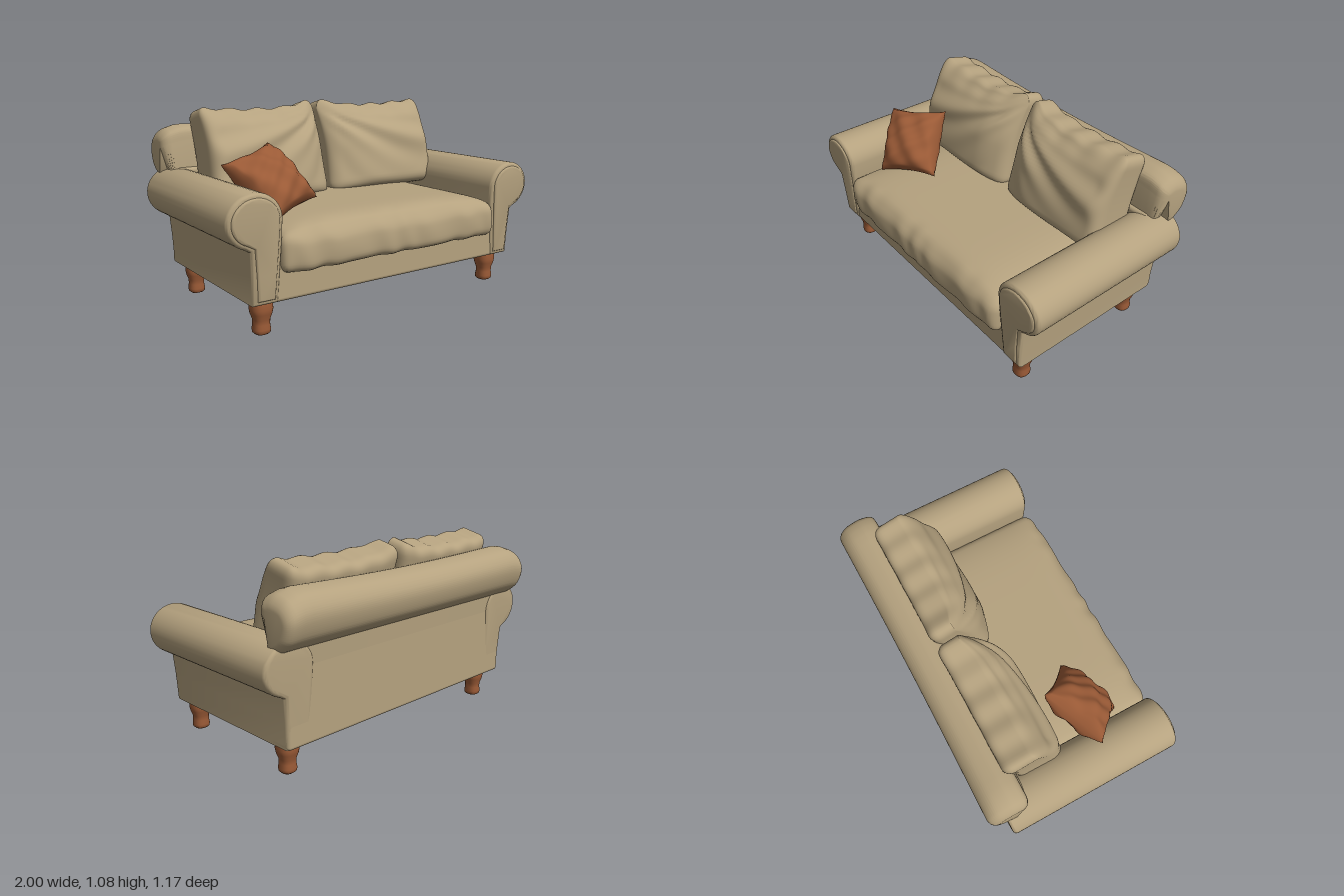
import * as THREE from 'three';
import { mergeVertices, toCreasedNormals } from 'three/addons/utils/BufferGeometryUtils.js';
import { RoundedBoxGeometry } from 'three/addons/geometries/RoundedBoxGeometry.js';

const { sin, cos, abs, max, min, hypot, sign, sqrt, PI } = Math;
const clamp = THREE.MathUtils.clamp;

// Moves every vertex of a geometry by a rule acting on a Vector3
function deform(geo, rule) {
  const p = geo.attributes.position, v = new THREE.Vector3();
  for (let i = 0; i < p.count; i++) {
    v.fromBufferAttribute(p, i);
    rule(v);
    p.setXYZ(i, v.x, v.y, v.z);
  }
  return geo;
}

// Welds a geometry and gives it smooth normals
function smooth(geo) {
  geo.deleteAttribute('uv');
  geo.deleteAttribute('normal');
  const g = mergeVertices(geo, 1e-4);
  g.computeVertexNormals();
  return g;
}

// Subdivided box with rounded edges, then shaped by a rule
function softBox(w, h, d, r, [a, b, c], rule) {
  const half = [w / 2, h / 2, d / 2];
  const geo = deform(new THREE.BoxGeometry(w, h, d, a, b, c), (v) => {
    const q = v.toArray();
    const inner = q.map((n, i) => clamp(n, -half[i] + r, half[i] - r));
    const off = q.map((n, i) => n - inner[i]);
    const k = r / (hypot(...off) || 1);
    v.set(...inner.map((n, i) => n + off[i] * k));
    rule(v);
  });
  return smooth(geo);
}

// Extrusion centred on its own axis, with a bevel kept inside the outline
function bar(shape, length, bevel, inset = 0, steps = 1) {
  const geo = new THREE.ExtrudeGeometry(shape, {
    depth: length - 2 * bevel, steps, curveSegments: 28,
    bevelSize: bevel, bevelThickness: bevel, bevelOffset: -bevel - inset, bevelSegments: 5,
  });
  return geo.translate(0, 0, bevel - length / 2);
}

// Outline of a rolled arm seen from the front
function armShape(side) {
  const s = new THREE.Shape();
  const pts = [[0.725, 0.172], [0.862, 0.172], [0.868, 0.32], [0.878, 0.445]];
  for (let i = 0; i <= 30; i++) {
    const t = -1.2 + (i / 30) * (1.2 + PI);
    pts.push([0.85 + 0.15 * cos(t), 0.588 + 0.138 * sin(t)]);
  }
  pts.push([0.703, 0.5], [0.715, 0.32]);
  s.setFromPoints(pts.map(([x, y]) => new THREE.Vector2(side * x, y)));
  return s;
}

export function createModel() {
  const model = new THREE.Group();
  model.name = 'sofa';
  const fabric = new THREE.MeshStandardMaterial({ color: 0xb5a27f });
  fabric.name = 'tan fabric';
  const rust = new THREE.MeshStandardMaterial({ color: 0x9a5a36 });
  rust.name = 'rust brown';

  const add = (name, geo, mat = fabric) => {
    const mesh = new THREE.Mesh(geo, mat);
    mesh.name = name;
    model.add(mesh);
    return mesh;
  };

  // Frame: base with front rail, and lower back panel
  add('base', new RoundedBoxGeometry(1.62, 0.19, 0.985, 4, 0.02)).position.set(0, 0.265, 0.025);
  add('backPanel', new RoundedBoxGeometry(1.726, 0.56, 0.14, 4, 0.02)).position.set(0, 0.45, -0.401);

  // Arms, leaning outwards slightly at both ends, with a raised front facing
  const lean = (v) => { v.z *= 1 + 0.07 * (v.y - 0.172); };
  for (const side of [1, -1]) {
    const name = side > 0 ? 'left' : 'right';
    const arm = bar(armShape(side), 0.99, 0.022).translate(0, 0, 0.028);
    add(name + 'Arm', toCreasedNormals(deform(arm, lean), 0.7));
    const facing = bar(armShape(side), 0.05, 0.013, 0.022).translate(0, 0, 0.507);
    add(name + 'ArmFacing', toCreasedNormals(deform(facing, lean), 0.7));
  }

  // Rolled top of the back, sagging a little in the middle
  const roll = new THREE.Shape();
  roll.moveTo(0.355, 0.56);
  roll.lineTo(0.352, 0.88);
  roll.splineThru([[0.365, 0.94], [0.41, 0.964], [0.46, 0.968], [0.53, 0.945], [0.572, 0.895],
    [0.582, 0.835], [0.56, 0.755], [0.52, 0.705], [0.476, 0.675]].map((p) => new THREE.Vector2(...p)));
  roll.lineTo(0.47, 0.56);
  const rollGeo = bar(roll, 1.87, 0.05, 0, 36).rotateY(PI / 2);
  deform(rollGeo, (v) => {
    const up = max(0, v.y - 0.66) / 0.3;
    const end = max(0, abs(v.x) - 0.78) / 0.155;
    const sag = max(0, cos(v.x * PI / 1.7));
    v.y -= up * (0.045 * end * end + 0.018 * sag);
    v.z += up * 0.012 * sag * (v.z < -0.46 ? 1 : 0);
    if (v.y < 0.66) v.x = clamp(v.x, -0.86, 0.86);
  });
  add('backRoll', toCreasedNormals(rollGeo, 0.8));

  // Seat cushion with a crowned top and puckered front
  const seat = softBox(1.42, 0.19, 0.93, 0.045, [72, 12, 44], (v) => {
    const x = v.x / 0.71, z = v.z / 0.465;
    const crown = max(0, 1 - x ** 6) * max(0, 1 - z ** 8);
    if (v.y > 0) v.y += 0.062 * crown * (v.y / 0.095);
    const front = clamp((z - 0.8) * 5, 0, 1);
    v.z += front * (0.014 * max(0, 1 - (v.y / 0.11) ** 2)
      + 0.004 * sin(v.x * 31 + 2 * sin(v.x * 9) + v.y * 14));
    v.y += front * 0.005 * sin(v.x * 23 + 1.5 * sin(v.x * 13));
    v.z -= front * 0.02 * x ** 8;
  });
  add('seatCushion', seat).position.set(0, 0.405, 0.1);

  // Two leaning back cushions with soft folds
  for (const side of [1, -1]) {
    const cushion = softBox(0.765, 0.54, 0.27, 0.055, [44, 32, 16], (v) => {
      const x = (v.x * side) / 0.3825, y = v.y / 0.27;
      const puff = max(0, 1 - x * x) * max(0, 1 - y * y);
      // thinner towards the top and the inner edge
      const top = clamp((y + 0.1) / 1.1, 0, 1);
      const inner = clamp(-x - 0.45, 0, 1) / 0.55;
      if (v.z > 0) {
        v.z -= (v.z / 0.135) * (0.085 * top * top + 0.06 * inner * inner);
        v.z += 0.03 * sqrt(puff);
        // folds fanning out from the inner upper corner
        const angle = Math.atan2(1.1 - y, x + 1.25);
        const reach = min(1, 3 * puff);
        v.z += reach * (0.009 * sin(angle * 13 + 1) + 0.006 * sin(angle * 24 + 3 * x));
      }
      // scalloped top edge, peaking at the inner corner
      const upper = clamp((y - 0.4) / 0.6, 0, 1);
      v.y += upper * (0.022 * x * x - 0.014 + 0.026 * inner + 0.007 * sin(x * 14 + 1));
      // sides drawn in slightly at mid height
      v.x -= 0.014 * sign(v.x) * max(0, 1 - y * y) * x * x;
    });
    const mesh = add(side > 0 ? 'leftBackCushion' : 'rightBackCushion', cushion);
    mesh.position.set(side * 0.392, 0.79, -0.225);
    mesh.rotation.x = -0.24;
  }

  // Throw pillow: pinched square, plump in the middle, resting on its corner
  const pillow = deform(new THREE.BoxGeometry(2, 2, 2, 32, 32, 1), (v) => {
    const { x, y, z } = v;
    const ex = 1 - x * x, ey = 1 - y * y;
    const plump = sqrt(max(0, ex * ey));
    const fold = 0.007 * sin(7 * x + 4 * y + z) + 0.005 * sin(11 * y - 6 * x);
    v.x = x * (1 - 0.1 * ey);
    v.y = y * (1 - 0.1 * ex);
    v.z = z * 0.115 * plump ** 0.85 + fold * min(1, 2 * plump);
  });
  const across = new THREE.Vector3(0.1775, 0.0375, -0.0775);
  const upward = new THREE.Vector3(-0.0875, 0.1425, -0.1125);
  const facing = across.clone().cross(upward).normalize();
  pillow.applyMatrix4(new THREE.Matrix4().makeBasis(across, upward, facing).setPosition(-0.563, 0.7, 0.172));
  add('throwPillow', smooth(pillow), rust);

  // Turned legs, slightly squared
  const legProfile = [[0, 0], [0.036, 0], [0.045, 0.008], [0.047, 0.025], [0.043, 0.05], [0.044, 0.075],
    [0.055, 0.105], [0.06, 0.13], [0.057, 0.16], [0.054, 0.18]].map((p) => new THREE.Vector2(...p));
  const leg = deform(new THREE.LatheGeometry(legProfile, 32), (v) => {
    const k = 1 - 0.04 * cos(4 * Math.atan2(v.z, v.x));
    v.x *= k;
    v.z *= k;
  });
  const legGeo = smooth(leg);
  for (const x of [-0.775, 0.775]) {
    for (const z of [0.427, -0.35]) {
      add((z > 0 ? 'front' : 'back') + (x > 0 ? 'Left' : 'Right') + 'Leg', legGeo, rust).position.set(x, 0, z);
    }
  }
  return model;
}
